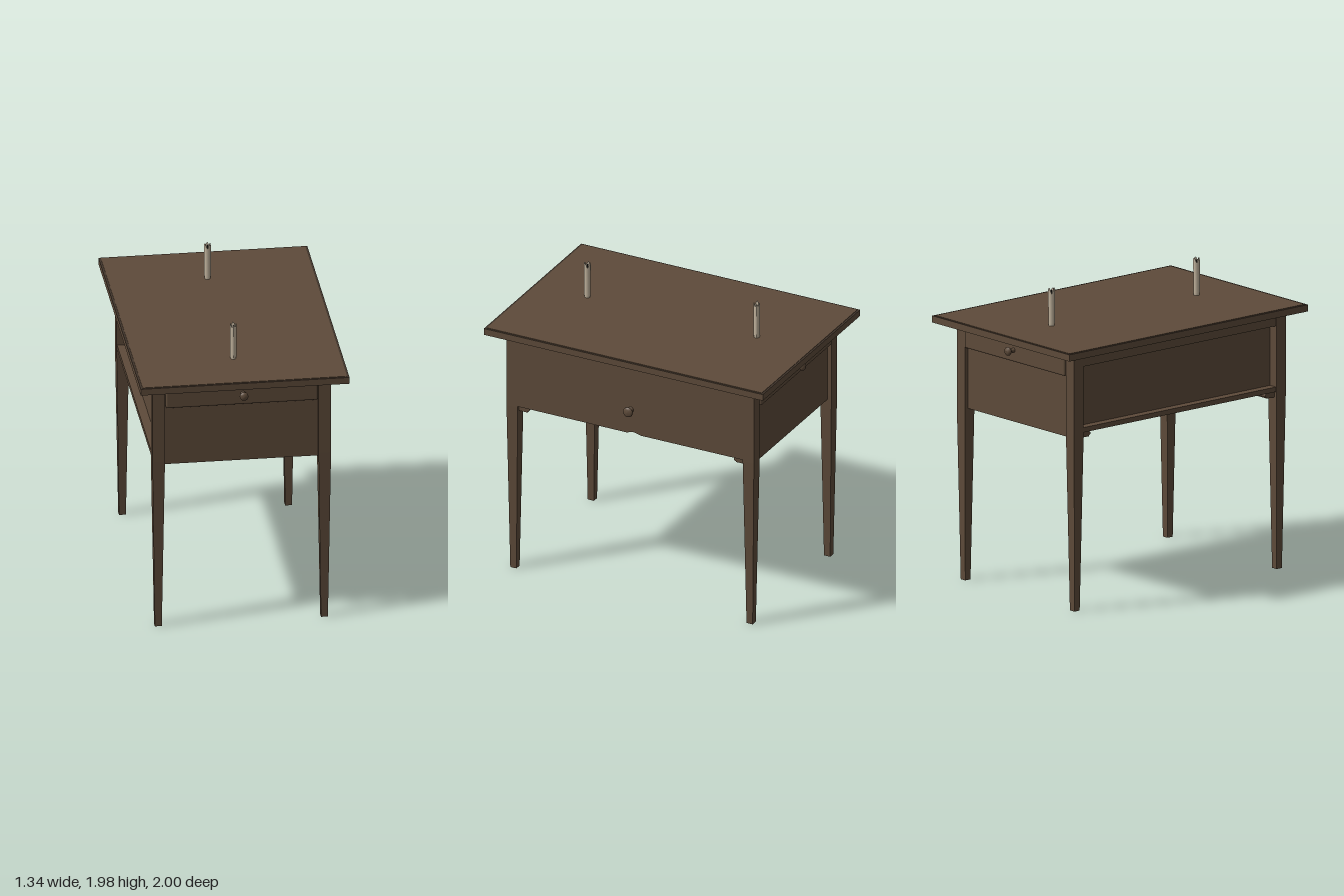
import * as THREE from 'three';
import { RoundedBoxGeometry } from 'three/addons/geometries/RoundedBoxGeometry.js';

const wood = new THREE.MeshStandardMaterial({ color: 0x5e4b3a });
wood.name = 'wood';
const edgeWood = new THREE.MeshStandardMaterial({ color: 0x40342a });
edgeWood.name = 'dark edge wood';
const grey = new THREE.MeshStandardMaterial({ color: 0x5a6466 });
grey.name = 'grey underside';
const wax = new THREE.MeshStandardMaterial({ color: 0xc2b49e, side: THREE.DoubleSide });
wax.name = 'candle wax';
const wickBlack = new THREE.MeshStandardMaterial({ color: 0x3a3632 });
wickBlack.name = 'wick';

export function createModel() {
  const table = new THREE.Group();
  table.name = 'table';

  const add = (name, geometry, material = wood, parent = table) => {
    const mesh = new THREE.Mesh(geometry, material);
    mesh.name = name;
    parent.add(mesh);
    return mesh;
  };
  // Box given by its minimum and maximum on each axis
  const box = (name, x0, x1, y0, y1, z0, z1, material = wood) => {
    const mesh = add(name, new THREE.BoxGeometry(x1 - x0, y1 - y0, z1 - z0), material);
    mesh.position.set((x0 + x1) / 2, (y0 + y1) / 2, (z0 + z1) / 2);
    return mesh;
  };

  // Table top: dark border around the upper face, grey below
  box('tableTop', -0.67, 0.67, 1.683, 1.727, -1, 1, [wood, wood, edgeWood, grey, wood, wood]);
  box('topSurface', -0.656, 0.656, 1.725, 1.73, -0.986, 0.986);

  // Legs: square at the top, tapering below the aprons
  for (const x of [-0.54, 0.526]) {
    for (const z of [0.852, -0.842]) {
      const geo = new THREE.BoxGeometry(0.08, 1.685, 0.08, 1, 2, 1);
      geo.translate(0, 0.8425, 0);
      const p = geo.attributes.position;
      for (let i = 0; i < p.count; i++) {
        const y = p.getY(i);
        if (y < 0.1) {
          p.setX(i, p.getX(i) * 0.55);
          p.setZ(i, p.getZ(i) * 0.55);
        } else if (y < 1.5) {
          p.setY(i, 1.16);
        }
      }
      geo.computeVertexNormals();
      add('leg', geo.toNonIndexed()).position.set(x, 0, z);
      table.children.at(-1).geometry.computeVertexNormals();
    }
  }

  // Turned knob, pointing along +y before it is rotated
  const knob = (name, r, length) => {
    const pts = [[0.6, 0], [0.55, 0.12], [0.36, 0.3], [0.36, 0.5], [0.8, 0.58],
      [1, 0.7], [0.95, 0.85], [0.6, 0.97], [0, 1]];
    const profile = pts.map(([a, b]) => new THREE.Vector2(a * r, b * length));
    return add(name, new THREE.LatheGeometry(profile, 20));
  };

  // Both ends: recessed apron, small drawer with knob, and bottom rail
  for (const s of [1, -1]) {
    const cz = 0.005;
    const span = (a, b) => [Math.min(cz + s * a, cz + s * b), Math.max(cz + s * a, cz + s * b)];
    box('endApron', -0.51, 0.496, 1.13, 1.682, ...span(0.82, 0.86));
    const drawer = add('endDrawer', new RoundedBoxGeometry(0.976, 0.137, 0.05, 3, 0.012));
    drawer.position.set(-0.007, 1.603, cz + s * 0.872);
    const k = knob('drawerKnob', 0.028, 0.068);
    k.rotation.x = s * Math.PI / 2;
    k.position.set(0, 1.612, cz + s * 0.893);
    box('bottomRail', -0.56, 0.546, 1.13, 1.166, ...span(0.747, 0.82));
    const nose = add('railNose', new THREE.CylinderGeometry(0.014, 0.014, 1.106, 12));
    nose.rotation.z = Math.PI / 2;
    nose.position.set(-0.007, 1.15, cz + s * 0.747);
  }

  // Right-hand long side: flush drawer front with a small finger notch
  const panel = new THREE.Shape();
  panel.moveTo(-0.815, 1.168);
  panel.lineTo(-0.03, 1.168);
  panel.lineTo(0.01, 1.18);
  panel.lineTo(0.03, 1.18);
  panel.lineTo(0.07, 1.168);
  panel.lineTo(0.805, 1.168);
  panel.lineTo(0.805, 1.677);
  panel.lineTo(-0.815, 1.677);
  const front = add('longDrawerFront',
    new THREE.ExtrudeGeometry(panel, { depth: 0.036, bevelEnabled: false }));
  front.rotation.y = Math.PI / 2;
  front.position.x = 0.53;
  const sideKnob = knob('longDrawerKnob', 0.034, 0.056);
  sideKnob.rotation.z = -Math.PI / 2;
  sideKnob.position.set(0.565, 1.337, 0);

  // Other long side: panel set back between two rails
  box('recessedPanel', -0.52, -0.5, 1.17, 1.68, -0.81, 0.82);
  box('sideTopRail', -0.577, -0.515, 1.6, 1.683, -0.805, 0.815);
  box('sideBottomRail', -0.577, -0.515, 1.168, 1.2, -0.805, 0.815);

  // Case bottom
  box('caseBottom', -0.55, 0.532, 1.17, 1.19, -0.83, 0.84);

  // Candles with a broken, hollow rim and a wick
  const notches = [0, -0.02, 0.004, -0.012, -0.034, -0.006, 0.006, -0.016, -0.03, 0.002, -0.01, -0.022];
  [0.62, -0.595].forEach((z, n) => {
    const candle = new THREE.Group();
    candle.name = 'candle';
    candle.position.set(-0.025, 1.729, z);
    candle.rotation.y = n * 2;
    table.add(candle);
    const profile = [[0.018, 0], [0.021, 0.02], [0.021, 0.12], [0.022, 0.244],
      [0.015, 0.244], [0.011, 0.205], [0, 0.2]].map(([a, b]) => new THREE.Vector2(a, b));
    const geo = new THREE.LatheGeometry(profile, 12);
    const p = geo.attributes.position;
    for (let i = 0; i < p.count; i++) {
      const step = Math.floor(i / profile.length) % 12;
      if (p.getY(i) > 0.24) p.setY(i, p.getY(i) + notches[step]);
    }
    geo.computeVertexNormals();
    add('candleBody', geo, wax, candle);
    const wick = add('candleWick', new THREE.CylinderGeometry(0.003, 0.003, 0.035, 6), wickBlack, candle);
    wick.position.y = 0.215;
  });

  return table;
}
